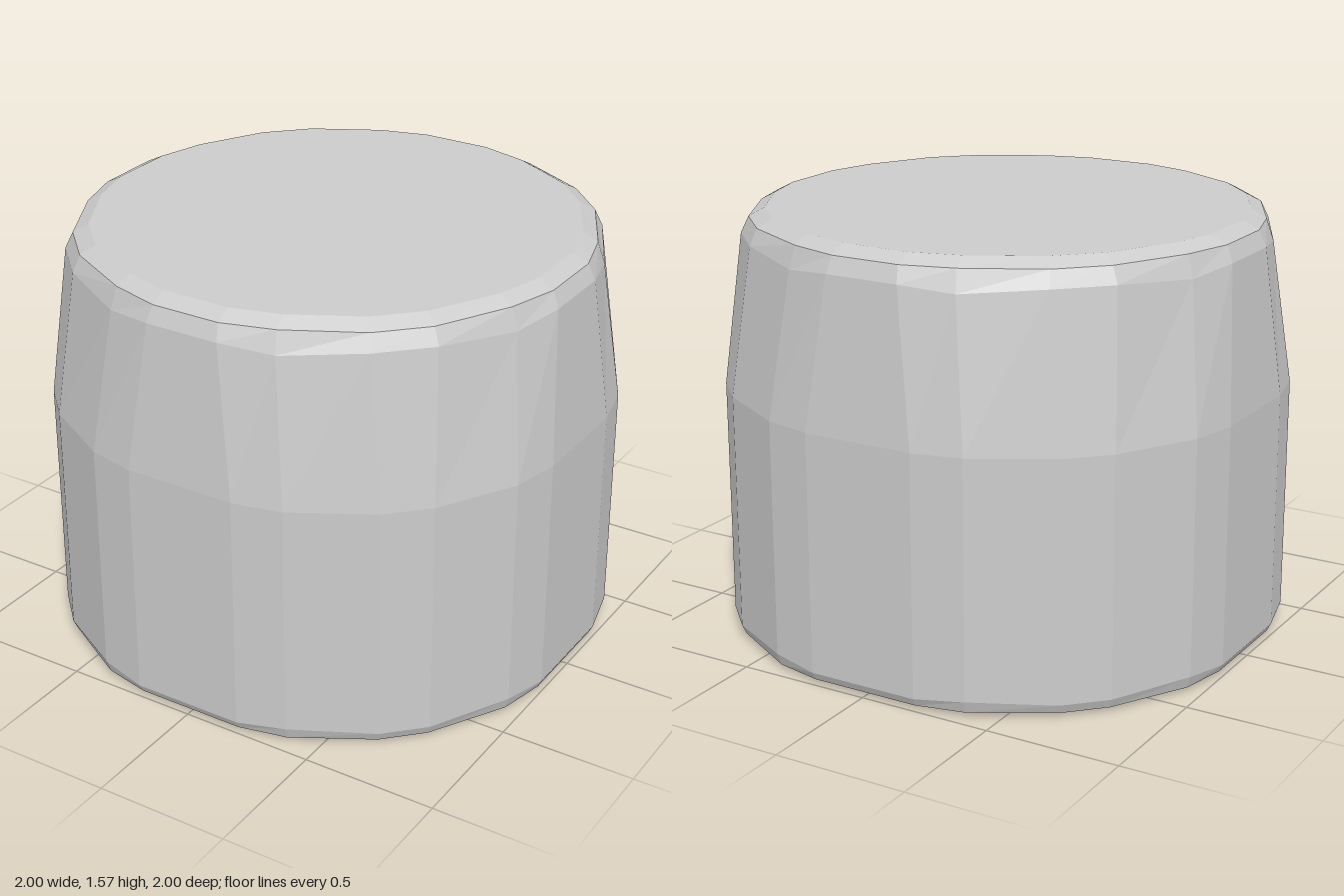
import * as THREE from 'three';

// Each ring: three [x, z] corners of one eighth of the outline, and their heights.
const wall = [[0.21, 1], [0.39, 0.96], [0.67, 0.8]];
const scaled = (pts, s) => pts.map(([x, z]) => [x * s, z * s]);
const rings = [
  { pts: scaled(wall, 0.95), y: [0, 0, 0] },
  { pts: scaled(wall, 0.985), y: [0.015, 0.015, 0.015] },
  { pts: wall, y: [0.045, 0.06, 0.05] },
  { pts: wall, y: [0.93, 0.93, 0.93] },
  { pts: [[0.14, 0.955], [0.33, 0.9], [0.6, 0.76]], y: [1.48, 1.46, 1.48] },
  { pts: [[0.13, 0.93], [0.32, 0.875], [0.585, 0.735]], y: [1.54, 1.54, 1.54] },
  { pts: [[0.13, 0.87], [0.31, 0.82], [0.55, 0.69]], y: [1.57, 1.57, 1.57] },
];

// Mirror an eighth into a quarter, then turn it four times.
function fullRing({ pts, y }) {
  const eighth = pts.map(([x, z], i) => [x, y[i], z]);
  let quarter = [...eighth, ...eighth.map(([x, h, z]) => [z, h, x]).reverse()];
  const ring = [];
  for (let q = 0; q < 4; q++) {
    ring.push(...quarter);
    quarter = quarter.map(([x, h, z]) => [z, h, -x]);
  }
  return ring;
}

function loft(loops) {
  const n = loops[0].length;
  const last = (loops.length - 1) * n;
  const points = loops.flat();
  const bottom = points.length, top = bottom + 1;
  points.push([0, loops[0][0][1], 0], [0, loops[loops.length - 1][0][1], 0]);
  const index = [];
  for (let i = 0; i < n; i++) {
    const j = (i + 1) % n;
    for (let r = 0; r < last; r += n) {
      index.push(r + i, r + j, r + n + j, r + i, r + n + j, r + n + i);
    }
    index.push(bottom, j, i, top, last + i, last + j); // flat end caps
  }
  const geometry = new THREE.BufferGeometry();
  geometry.setAttribute('position', new THREE.Float32BufferAttribute(points.flat(), 3));
  geometry.setIndex(index);
  const flat = geometry.toNonIndexed();
  flat.computeVertexNormals();
  return flat;
}

export function createModel() {
  const group = new THREE.Group();
  group.name = 'roundedDrum';
  // Straight lower wall, tapered shoulder and bevelled rims
  const body = new THREE.Mesh(
    loft(rings.map(fullRing)),
    new THREE.MeshStandardMaterial({ color: 0xcccccc, flatShading: true }),
  );
  body.name = 'drumBody';
  group.add(body);
  return group;
}
